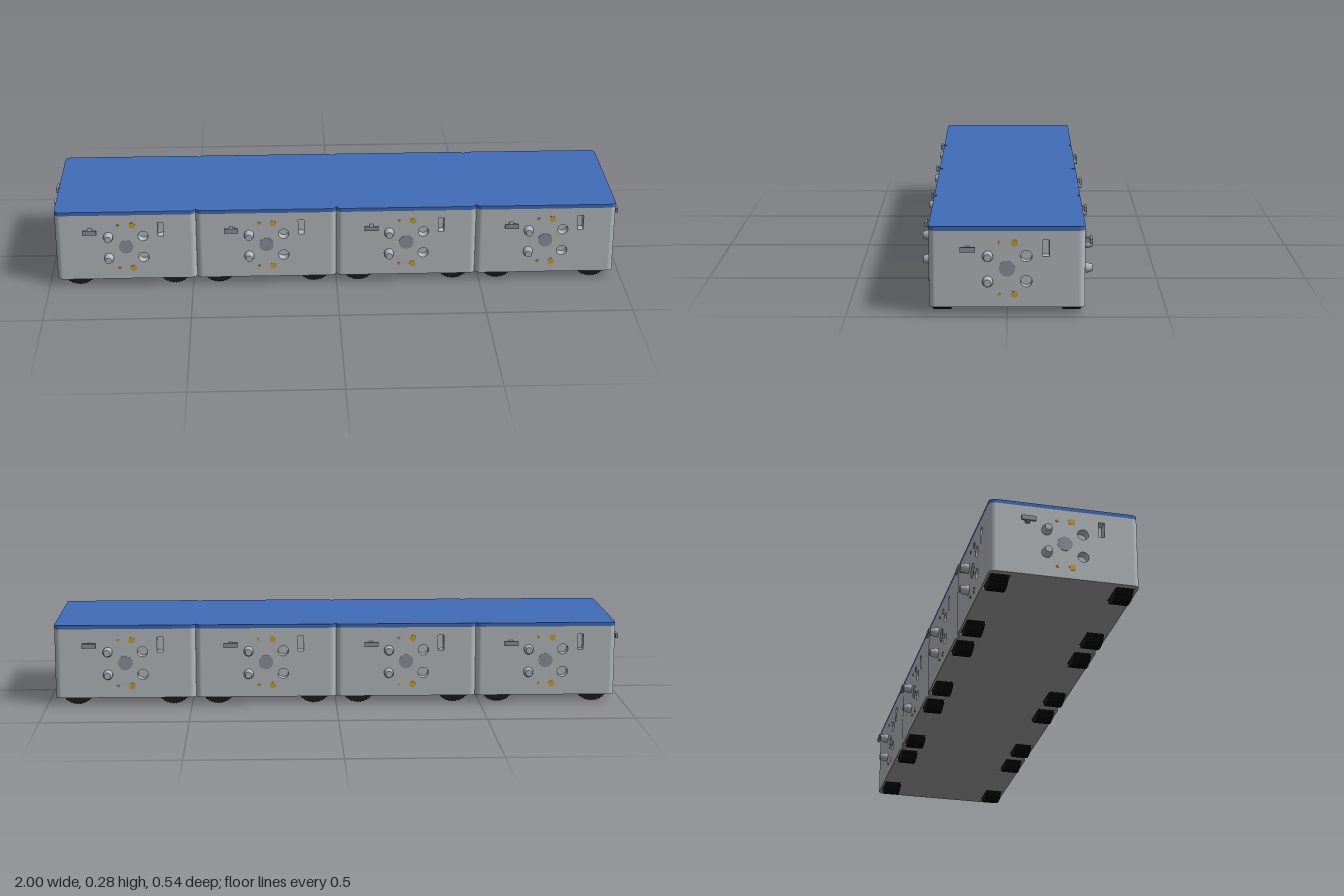
import * as THREE from 'three';

const mat = (name, color) => new THREE.MeshStandardMaterial({ name, color, side: THREE.DoubleSide });

const HALF = 0.243, R = 0.02, FLAT = HALF - R; // module half width, corner radius, flat half width
const Y0 = 0.025, Y1 = 0.267, TOP = 0.28;      // floor, lid underside, lid top
const RECESS = 0.032;

function mesh(name, geometry, material, x = 0, y = 0, z = 0) {
  const m = new THREE.Mesh(geometry, material);
  m.name = name;
  m.position.set(x, y, z);
  return m;
}

// Square outline with rounded corners
function roundedSquare() {
  const s = new THREE.Shape();
  [0, 1, 2, 3].forEach(i => {
    const a = i * Math.PI / 2;
    const cx = (i === 0 || i === 3 ? 1 : -1) * FLAT, cy = (i < 2 ? 1 : -1) * FLAT;
    s.absarc(cx, cy, R, a, a + Math.PI / 2, false);
  });
  s.closePath();
  return s;
}

function rectPath(x, y, w, h, Type = THREE.Path) {
  return new Type().moveTo(x - w / 2, y - h / 2).lineTo(x + w / 2, y - h / 2)
    .lineTo(x + w / 2, y + h / 2).lineTo(x - w / 2, y + h / 2).closePath();
}

// Disc standing on a side face, axis along z
const disc = (r, depth) => new THREE.CylinderGeometry(r, r, depth, 24).rotateX(Math.PI / 2);

// Tyre with fine cross ribs
function tyreGeometry(r, width) {
  const pts = [], teeth = 36;
  for (let i = 0; i < teeth * 4; i++) {
    const a = (i + 0.5) / (teeth * 4) * Math.PI * 2 - Math.PI / 2;
    const rr = i % 4 < 2 ? r : r - 0.0025;
    pts.push(new THREE.Vector2(Math.cos(a) * rr, Math.sin(a) * rr));
  }
  return new THREE.ExtrudeGeometry(new THREE.Shape(pts), { depth: width, bevelEnabled: false })
    .translate(0, 0, -width / 2);
}

export function createModel() {
  const shell = mat('shellGrey', 0xb6bbbf);
  const under = mat('undersideGrey', 0x9a9c9e);
  const blue = mat('lidBlue', 0x416cb8);
  const steel = mat('pegSteel', 0xb0b5be);
  const dark = mat('latchGrey', 0x8d929e);
  const gold = mat('contactGold', 0xc6a130);
  const black = mat('tyreBlack', 0x1b1b1b);

  // Side panel with two round sockets and one slot
  const panel = rectPath(0, (Y0 + Y1) / 2, FLAT * 2, Y1 - Y0, THREE.Shape);
  for (const y of [0.107, 0.187]) panel.holes.push(new THREE.Path().absarc(0.06, y, 0.018, 0, Math.PI * 2, true));
  panel.holes.push(rectPath(0.121, 0.212, 0.02, 0.053));
  const panelGeo = new THREE.ShapeGeometry(panel, 16);

  const cornerGeo = new THREE.CylinderGeometry(R, R, Y1 - Y0, 8, 1, true, 0, Math.PI / 2);
  const socketGeo = new THREE.CylinderGeometry(0.018, 0.018, RECESS, 28, 1, true).rotateX(Math.PI / 2);
  const socketFloorGeo = new THREE.CircleGeometry(0.018, 28);
  // Slot box without its outward face
  const slotGeo = new THREE.BoxGeometry(0.02, 0.053, RECESS);
  const idx = Array.from(slotGeo.index.array);
  idx.splice(24, 6);
  slotGeo.setIndex(idx);
  slotGeo.clearGroups();

  // Tapered docking peg, axis along z
  const pegGeo = new THREE.LatheGeometry(
    [[0.0165, 0], [0.0165, 0.012], [0.0165, 0.012], [0.0115, 0.029], [0.0115, 0.029], [0, 0.029]]
      .map(p => new THREE.Vector2(...p)), 24).rotateX(Math.PI / 2);

  // Floor with four wheel openings
  const floor = roundedSquare();
  for (const x of [-0.166, 0.166])
    for (const z of [-0.203, 0.203]) floor.holes.push(rectPath(x, z, 0.11, 0.064));
  const floorGeo = new THREE.ShapeGeometry(floor, 8).rotateX(Math.PI / 2);

  const lidGeo = new THREE.ExtrudeGeometry(roundedSquare(), { depth: TOP - Y1, bevelEnabled: false, curveSegments: 8 })
    .rotateX(-Math.PI / 2);
  const tyreGeo = tyreGeometry(0.0625, 0.057);

  function dockingSide() {
    const g = new THREE.Group();
    g.name = 'dockingSide';
    g.add(mesh('sidePanel', panelGeo, shell, 0, 0, HALF));
    g.add(mesh('roundedCorner', cornerGeo, shell, FLAT, (Y0 + Y1) / 2, FLAT));
    for (const y of [0.107, 0.187]) {
      g.add(mesh('dockingPeg', pegGeo, steel, -0.06, y, HALF));
      g.add(mesh('socketWall', socketGeo, shell, 0.06, y, HALF - RECESS / 2));
      g.add(mesh('socketFloor', socketFloorGeo, shell, 0.06, y, HALF - RECESS));
    }
    g.add(mesh('latchSlot', slotGeo, shell, 0.121, 0.212, HALF - RECESS / 2));
    // T-shaped latch
    g.add(mesh('latchStem', new THREE.BoxGeometry(0.014, 0.014, 0.02), dark, -0.122, 0.212, HALF + 0.01));
    g.add(mesh('latchBar', new THREE.BoxGeometry(0.048, 0.016, 0.008), dark, -0.122, 0.212, HALF + 0.022));
    // Centre coupling and electrical contacts
    g.add(mesh('centreDisc', disc(0.025, 0.004), dark, 0, 0.147, HALF - 0.001));
    for (const y of [0.065, 0.228]) {
      g.add(mesh('contactPin', disc(0.005, 0.006), gold, -0.025, y, HALF));
      g.add(mesh('contactPad', disc(0.011, 0.004), gold, 0.023, y, HALF - 0.001));
    }
    return g;
  }

  function carrier() {
    const g = new THREE.Group();
    g.name = 'carrierModule';
    g.add(mesh('floor', floorGeo, under, 0, Y0, 0));
    g.add(mesh('lid', lidGeo, blue, 0, Y1, 0));
    for (let i = 0; i < 4; i++) {
      const side = dockingSide();
      side.rotation.y = i * Math.PI / 2;
      g.add(side);
    }
    for (const x of [-0.166, 0.166])
      for (const z of [-0.2025, 0.2025]) g.add(mesh('wheel', tyreGeo, black, x, 0.0625, z));
    return g;
  }

  const model = new THREE.Group();
  model.name = 'modularCarrierTrain';
  for (let i = 0; i < 4; i++) {
    const c = carrier();
    c.position.x = (i - 1.5) * HALF * 2;
    model.add(c);
  }
  return model;
}
